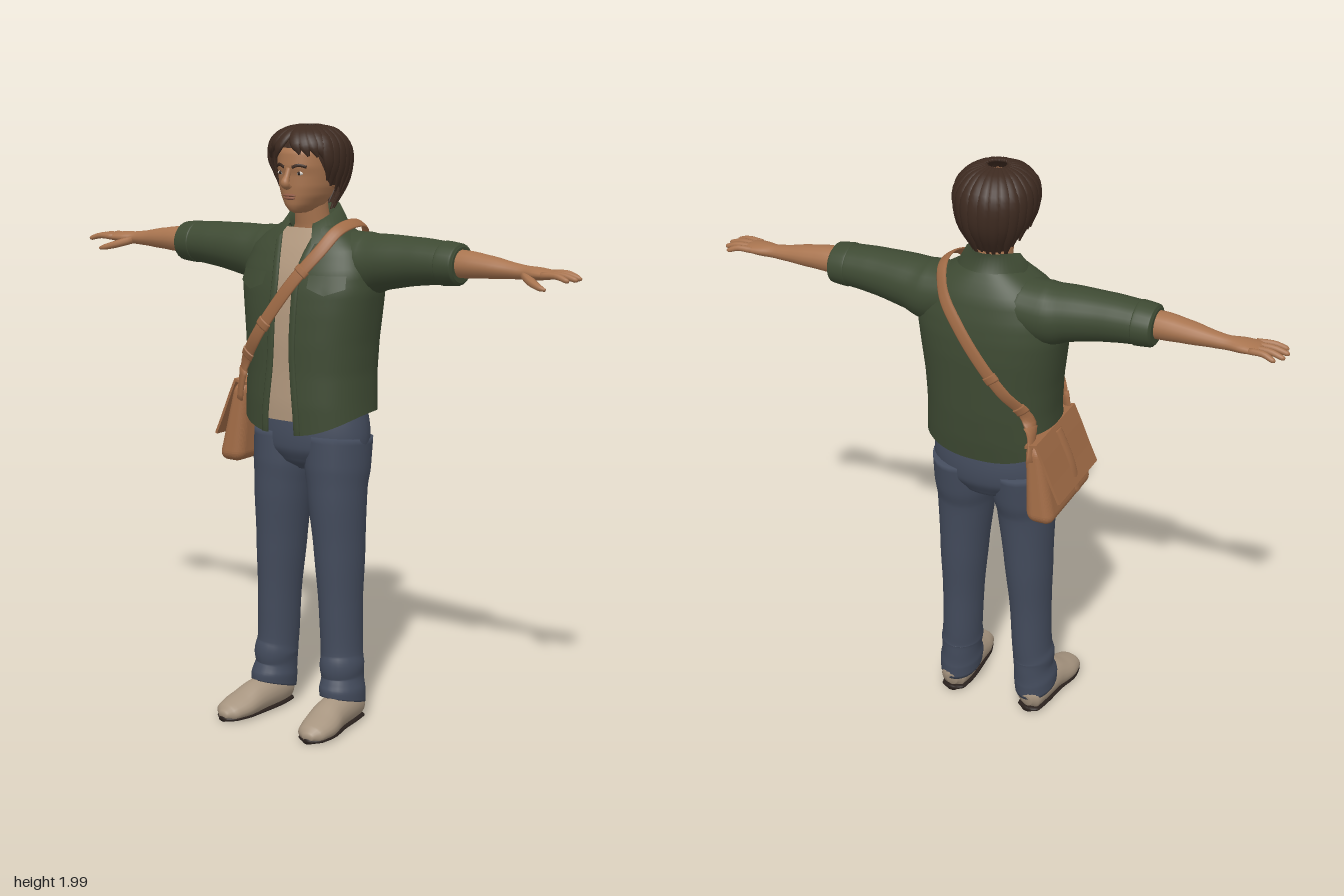
import * as THREE from 'three';
import { RoundedBoxGeometry } from 'three/addons/geometries/RoundedBoxGeometry.js';

const V = (x, y, z) => new THREE.Vector3(x, y, z);
const { lerp, clamp, smoothstep } = THREE.MathUtils;
const mat = (name, color) => new THREE.MeshStandardMaterial({ name, color, side: THREE.DoubleSide });

// Skin over rows of points; turns the faces outward by signed volume
function grid(rows, closed = false, caps = false) {
  const n = rows[0].length, pts = rows.flat(), idx = [];
  for (let j = 0; j < rows.length - 1; j++)
    for (let i = 0; i < (closed ? n : n - 1); i++) {
      const k = (i + 1) % n, a = j * n + i, b = j * n + k, c = a + n, d = b + n;
      idx.push(a, b, c, b, d, c);
    }
  if (caps) [[0, 1], [rows.length - 1, 0]].forEach(([j, flip]) => {
    const mid = rows[j].reduce((s, p) => s.add(p), V(0, 0, 0)).divideScalar(n);
    const m = pts.push(mid) - 1;
    for (let i = 0; i < n; i++) {
      const a = j * n + i, b = j * n + (i + 1) % n;
      idx.push(m, ...(flip ? [b, a] : [a, b]));
    }
  });
  const mean = pts.reduce((s, p) => s.add(p), V(0, 0, 0)).divideScalar(pts.length);
  const q = pts.map(p => p.clone().sub(mean));
  let vol = 0;
  for (let i = 0; i < idx.length; i += 3)
    vol += q[idx[i]].dot(q[idx[i + 1]].clone().cross(q[idx[i + 2]]));
  if (vol < 0) idx.reverse();
  const g = new THREE.BufferGeometry().setFromPoints(pts);
  g.setIndex(idx);
  g.computeVertexNormals();
  return g;
}

// Elliptical sweep through points [x, y, z, sideways radius, upward radius]
function sweep(points, up, { seg = 24, sides = 16, t0 = 0, t1 = 1, grow = 0 } = {}) {
  const path = new THREE.CatmullRomCurve3(points.map(p => V(p[0], p[1], p[2])));
  const size = new THREE.CatmullRomCurve3(points.map(p => V(p[3], p[4], 0)), false, 'catmullrom', 0.3);
  const rows = [];
  for (let j = 0; j <= seg; j++) {
    const t = lerp(t0, t1, j / seg), p = path.getPoint(t), r = size.getPoint(t), T = path.getTangent(t);
    const S = (typeof up === 'function' ? up(p) : up.clone()).cross(T).normalize();
    const U = T.clone().cross(S);
    rows.push(Array.from({ length: sides }, (_, i) => {
      const a = i / sides * Math.PI * 2;
      return p.clone().addScaledVector(S, (r.x + grow) * Math.cos(a)).addScaledVector(U, (r.y + grow) * Math.sin(a));
    }));
  }
  return grid(rows, true, true);
}

// Upright rounded body from sections [y, half width, front z, back z]; angle 0 is the front
function shell(table, cz, n) {
  const at = y => {
    let i = 1;
    while (i < table.length - 1 && table[i][0] < y) i++;
    const A = table[i - 1], B = table[i], t = clamp((y - A[0]) / (B[0] - A[0]), 0, 1);
    return A.map((v, k) => lerp(v, B[k], t));
  };
  const pw = v => Math.sign(v) * Math.abs(v) ** (2 / n);
  const pt = (a, y, off = 0) => {
    const [, rx, zf, zb] = at(y), c = Math.cos(a);
    return V((rx + off) * pw(Math.sin(a)), y, cz + ((c > 0 ? zf - cz : cz - zb) + off) * pw(c));
  };
  const angle = (x, y) => Math.sign(x) * Math.asin(Math.min(1, Math.abs(x) / at(y)[1]) ** (n / 2));
  const onX = (x, y, off, back) => pt(back ? Math.PI - angle(x, y) : angle(x, y), y, off);
  return { pt, angle, onX };
}

const rowsOf = (nv, nu, f) => Array.from({ length: nv + 1 }, (_, j) =>
  Array.from({ length: nu + 1 }, (_, i) => f(i / nu, j / nv)));

export function createModel() {
  const model = new THREE.Group();
  model.name = 'figure';
  const green = mat('shirt green', 0x3e4a33), denim = mat('denim blue', 0x434b5c), skin = mat('skin', 0xa8744f),
    cream = mat('undershirt beige', 0xb0977d), brown = mat('hair brown', 0x3d2a20), suede = mat('shoe beige', 0xa79580),
    leather = mat('leather tan', 0xa06b46), white = mat('eye white', 0xd8cfc6), dark = mat('dark', 0x2a211d), lip = mat('lip', 0x8f5a45);
  const add = (name, geo, m) => {
    const mesh = new THREE.Mesh(geo, m);
    mesh.name = name;
    model.add(mesh);
    return mesh;
  };
  const Y = V(0, 1, 0), Z = V(0, 0, 1);
  const mirror = (pts, m) => pts.map(([x, ...r]) => [x * m, ...r]);
  const blob = (name, m, p, s) => {
    const b = add(name, new THREE.SphereGeometry(1, 16, 10), m);
    b.position.copy(p);
    b.scale.set(...s);
  };

  // Open shirt with curved hem, undershirt behind it
  const torso = shell([[0.99, 0.232, 0.142, -0.172], [1.1, 0.225, 0.145, -0.19], [1.2, 0.221, 0.14, -0.2], [1.3, 0.227, 0.138, -0.205],
    [1.4, 0.24, 0.13, -0.21], [1.47, 0.25, 0.12, -0.208], [1.53, 0.245, 0.105, -0.2], [1.6, 0.215, 0.075, -0.182],
    [1.64, 0.17, 0.052, -0.162], [1.67, 0.12, 0.035, -0.142], [1.69, 0.08, 0.025, -0.128]], -0.04, 2.4);
  const hem = a => 1 + 0.055 * Math.sin(a) ** 2 + 0.03 * (1 - Math.cos(a)) / 2;
  const gap = y => 0.032 + 0.022 * smoothstep(1.3 - y, 0, 0.3) + 0.035 * smoothstep(y, 1.5, 1.69);
  add('shirt', grid(rowsOf(36, 56, (u, v) => {
    const y0 = lerp(1, 1.69, v), a0 = torso.angle(gap(y0), y0);
    const a = lerp(a0, Math.PI * 2 - a0, u);
    return torso.pt(a, lerp(hem(a), 1.69, v));
  })), green);
  add('undershirt', grid(rowsOf(24, 20, (u, v) => torso.pt(lerp(-1.1, 1.1, u), lerp(1.045, 1.665, v), -0.014))), cream);

  // Folded collar
  add('collar', grid(rowsOf(2, 40, (u, v) => {
    const a = lerp(0.55, Math.PI * 2 - 0.55, u), f = ((1 + Math.cos(a)) / 2) ** 2, k = Math.round(v * 2);
    const r = [0.074, 0.084, 0.11 + 0.036 * f][k];
    return V(r * Math.sin(a), [1.655, 1.74 - 0.07 * f, 1.685 - 0.078 * f][k], -0.045 + r * Math.cos(a));
  })), green);

  for (const m of [1, -1]) {
    // Front edge and chest pocket flap
    const edge = Array.from({ length: 10 }, (_, i) => {
      const y = lerp(1.004, 1.64, i / 9), p = torso.onX(m * (gap(y) + 0.01), y, 0.001);
      return [p.x, p.y, p.z, 0.013, 0.004];
    });
    add('placket', sweep(edge, Z, { sides: 8 }), green);
    add('pocketFlap', grid(rowsOf(4, 12, (u, v) => {
      const low = 1.485 - 0.022 * (1 - Math.abs(2 * u - 1));
      return torso.onX(m * lerp(0.085, 0.2, u), lerp(low, 1.525, v), lerp(0.009, 0.002, v));
    })), green);

    // Sleeve with rolled cuff
    add('sleeve', sweep(mirror([[0.1, 1.57, -0.07, 0.1, 0.09], [0.2, 1.555, -0.07, 0.1, 0.102], [0.27, 1.565, -0.066, 0.092, 0.09],
      [0.4, 1.576, -0.062, 0.08, 0.077], [0.48, 1.578, -0.061, 0.075, 0.07], [0.55, 1.577, -0.061, 0.069, 0.062]], m), Y, { sides: 24 }), green);
    add('cuff', sweep(mirror([[0.49, 1.578, -0.061, 0.07, 0.064], [0.497, 1.578, -0.061, 0.077, 0.071],
      [0.55, 1.577, -0.061, 0.073, 0.066], [0.558, 1.577, -0.061, 0.062, 0.056]], m), Y, { sides: 24 }), green);

    // Forearm, palm and fingers
    add('forearm', sweep(mirror([[0.5, 1.58, -0.058, 0.045, 0.045], [0.58, 1.581, -0.057, 0.047, 0.044], [0.66, 1.578, -0.06, 0.042, 0.036],
      [0.74, 1.573, -0.063, 0.031, 0.026], [0.785, 1.571, -0.063, 0.028, 0.022], [0.83, 1.571, -0.06, 0.04, 0.02],
      [0.875, 1.571, -0.058, 0.045, 0.014], [0.89, 1.57, -0.057, 0.04, 0.009]], m), Y), skin);
    [[-0.092, -0.106, 0.945], [-0.07, -0.078, 0.966], [-0.046, -0.045, 0.97], [-0.023, -0.013, 0.958]].forEach(([z0, z1, x]) =>
      add('finger', sweep(mirror([[0.86, 1.572, z0, 0.011, 0.011], [lerp(0.87, x, 0.5), 1.574, lerp(z0, z1, 0.5), 0.0105, 0.01],
        [x - 0.008, 1.564, z1, 0.009, 0.008], [x, 1.562, z1, 0.004, 0.004]], m), Y, { seg: 10, sides: 8 }), skin));
    add('thumb', sweep(mirror([[0.79, 1.565, -0.045, 0.015, 0.014], [0.83, 1.551, -0.013, 0.015, 0.013], [0.87, 1.539, 0.008, 0.011, 0.01],
      [0.892, 1.534, 0.012, 0.005, 0.005]], m), Y, { seg: 10, sides: 8 }), skin);

    // Trouser leg, hem raised over the instep
    const leg = sweep(mirror([[0.106, 0.98, -0.042, 0.104, 0.128], [0.106, 0.88, -0.033, 0.105, 0.122], [0.11, 0.8, -0.025, 0.096, 0.11],
      [0.12, 0.6, -0.025, 0.081, 0.097], [0.128, 0.4, -0.022, 0.069, 0.084], [0.134, 0.24, -0.021, 0.067, 0.08], [0.138, 0.2, -0.016, 0.071, 0.084],
      [0.139, 0.16, -0.018, 0.067, 0.081], [0.143, 0.11, -0.011, 0.073, 0.089], [0.145, 0.055, -0.01, 0.071, 0.089]], m), Z, { seg: 50, sides: 24 });
    const p = leg.attributes.position;
    for (let i = 0; i < p.count; i++) {
      const y = p.getY(i);
      if (y < 0.14) p.setY(i, y + (p.getZ(i) + 0.1) * 0.28 * (0.14 - y) / 0.085);
    }
    leg.computeVertexNormals();
    add('trouserLeg', leg, denim);

    // Shoe with flat bottom and dark sole
    const foot = mirror([[0.145, 0.045, -0.094, 0.018, 0.025], [0.147, 0.05, -0.075, 0.044, 0.05], [0.15, 0.055, 0, 0.055, 0.06],
      [0.157, 0.05, 0.08, 0.058, 0.056], [0.168, 0.035, 0.15, 0.063, 0.043], [0.174, 0.026, 0.21, 0.05, 0.032], [0.177, 0.022, 0.238, 0.018, 0.012]], m);
    const shoe = sweep(foot, Y, { seg: 30, sides: 20 }), sp = shoe.attributes.position;
    for (let i = 0; i < sp.count; i++) sp.setY(i, Math.max(0.01, sp.getY(i)));
    shoe.computeVertexNormals();
    add('shoe', shoe, suede);
    add('sole', sweep(foot.map(([x, , z, r]) => [x, 0.009, z, r * 0.97, 0.009]), Y, { seg: 30 }), dark);
  }
  add('hips', sweep([[0, 1.12, -0.04, 0.195, 0.115], [0, 1, -0.042, 0.211, 0.132], [0, 0.94, -0.04, 0.205, 0.13],
    [0, 0.89, -0.038, 0.14, 0.105], [0, 0.86, -0.036, 0.06, 0.06]], Z, { sides: 32 }), denim);

  // Neck and head
  add('neck', sweep([[0, 1.61, -0.05, 0.1, 0.07], [0, 1.65, -0.045, 0.078, 0.066], [0, 1.69, -0.035, 0.058, 0.057], [0, 1.78, -0.02, 0.054, 0.056]], Z), skin);
  const head = shell([[1.715, 0.02, 0.06, 0.0], [1.722, 0.036, 0.078, -0.03], [1.74, 0.055, 0.088, -0.05], [1.77, 0.074, 0.092, -0.08],
    [1.8, 0.084, 0.094, -0.1], [1.84, 0.089, 0.094, -0.12], [1.865, 0.091, 0.1, -0.125], [1.91, 0.091, 0.094, -0.125], [1.95, 0.075, 0.065, -0.1]], -0.02, 2.2);
  add('head', grid(rowsOf(30, 39, (u, v) => head.pt(u * Math.PI * 1.95, lerp(1.715, 1.95, v))), true, true), skin);
  add('nose', sweep([[0, 1.86, 0.094, 0.009, 0.008], [0, 1.835, 0.104, 0.01, 0.01], [0, 1.813, 0.115, 0.015, 0.013],
    [0, 1.8, 0.1, 0.014, 0.01]], Z, { sides: 12 }), skin);
  blob('upperLip', lip, head.onX(0, 1.774, 0), [0.026, 0.005, 0.007]);
  blob('lowerLip', lip, head.onX(0, 1.765, 0), [0.022, 0.006, 0.008]);
  for (const m of [1, -1]) {
    blob('eye', white, head.onX(m * 0.036, 1.845, -0.002), [0.015, 0.0065, 0.005]);
    blob('iris', dark, head.onX(m * 0.036, 1.845, 0.001), [0.006, 0.006, 0.004]);
    blob('ear', skin, V(m * 0.092, 1.825, -0.025), [0.012, 0.03, 0.02]);
    const brow = [0.016, 0.036, 0.058].map((x, i) => [...head.onX(m * x, [1.864, 1.871, 1.865][i], 0.001).toArray(), 0.005, 0.003]);
    add('eyebrow', sweep(brow, Z, { seg: 8, sides: 8 }), brown);
  }

  // Hair: cap plus overlapping locks parted in the middle
  const hair = shell([[1.73, 0.07, 0.08, -0.105], [1.78, 0.098, 0.09, -0.138], [1.84, 0.114, 0.1, -0.15], [1.9, 0.123, 0.108, -0.152],
    [1.945, 0.11, 0.094, -0.135], [1.975, 0.08, 0.062, -0.1], [1.992, 0.03, 0.015, -0.045]], -0.02, 2.1);
  const fringe = a => {
    const c = Math.cos(a);
    return c > 0 ? lerp(1.805, 1.925, smoothstep(c, 0.2, 0.85)) : lerp(1.805, 1.738, smoothstep(-c, 0, 0.7));
  };
  add('hairCap', grid(rowsOf(20, 71, (u, v) => {
    const a = u * Math.PI * 2 * 71 / 72;
    return hair.pt(a, lerp(fringe(a), 1.992, Math.sin(v * Math.PI / 2)), 0.002 * Math.sin(a * 24));
  }), true), brown);
  const out = q => q.clone().sub(V(0, 1.87, -0.02));
  for (let i = 0; i < 26; i++) {
    const a = ((i + 0.5) / 26 * 2 - 1) * Math.PI, front = smoothstep(Math.cos(a), 0.2, 0.8);
    const low = fringe(a) - 0.012 - 0.01 * Math.sin(i * 2.7) - 0.012 * front;
    const lock = [0, 0.15, 0.4, 0.72, 1].map((t, k) => {
      const turn = a + Math.sign(a) * 0.35 * front * (t - 0.3);
      const q = hair.pt(turn, lerp(1.99, low, t ** 1.4), [0, 0.003, 0.006, 0.006, 0.001][k]);
      return [q.x, q.y, q.z, [0.008, 0.016, 0.022, 0.02, 0.004][k], [0.005, 0.008, 0.01, 0.009, 0.003][k]];
    });
    add('hairLock', sweep(lock, out, { seg: 16, sides: 10 }), brown);
  }

  // Shoulder bag, tapering towards the top
  const bag = new RoundedBoxGeometry(0.1, 0.27, 0.345, 5, 0.035), bp = bag.attributes.position;
  for (let i = 0; i < bp.count; i++) {
    const v = bp.getY(i) / 0.27 + 0.5;
    bp.setXYZ(i, lerp(-0.242, -0.207, v) + bp.getX(i) * lerp(1, 0.55, v), 0.872 + v * 0.27, -0.058 + bp.getZ(i) * lerp(1.02, 0.88, v));
  }
  bag.computeVertexNormals();
  add('bagBody', bag, leather);
  const flap = new THREE.Shape([[-0.185, 1.145], [-0.225, 1.155], [-0.25, 1.1], [-0.283, 1.02], [-0.31, 0.96],
    [-0.302, 0.956], [-0.275, 1.016], [-0.242, 1.095], [-0.22, 1.145], [-0.185, 1.135]].map(q => new THREE.Vector2(...q)));
  add('bagFlap', new THREE.ExtrudeGeometry(flap, { depth: 0.31, bevelEnabled: false }), leather).position.z = -0.213;
  add('bagClosure', sweep([[-0.235, 1.14, -0.058, 0.02, 0.004], [-0.254, 1.1, -0.058, 0.02, 0.004], [-0.287, 1.02, -0.058, 0.02, 0.004],
    [-0.308, 0.93, -0.058, 0.018, 0.004]], V(-1, 0.4, 0), { sides: 8 }), leather);

  // Strap over the left shoulder, with keepers and end tabs
  const side = back => [1.21, 1.31, 1.41, 1.51, 1.6].map(y => torso.onX(-0.17 + (y - 1.21) * 0.7, y, 0.011, back).toArray());
  const strap = [[-0.208, 1.09, 0.092], ...side(false), [0.138, 1.662, 0.02], [0.148, 1.682, -0.06], [0.138, 1.668, -0.13],
    ...side(true).reverse(), [-0.208, 1.09, -0.212]].map(q => [...q, 0.022, 0.005]);
  const away = q => q.clone().sub(V(-0.02, 1.42, -0.05));
  add('strap', sweep(strap, away, { seg: 90, sides: 10 }), leather);
  [[0, 0.06], [0.09, 0.105], [0.17, 0.185], [0.3, 0.312], [0.815, 0.83], [0.895, 0.91], [0.94, 1]].forEach(([t0, t1]) =>
    add('strapKeeper', sweep(strap, away, { seg: 6, sides: 10, t0, t1, grow: 0.004 }), leather));
  return model;
}
